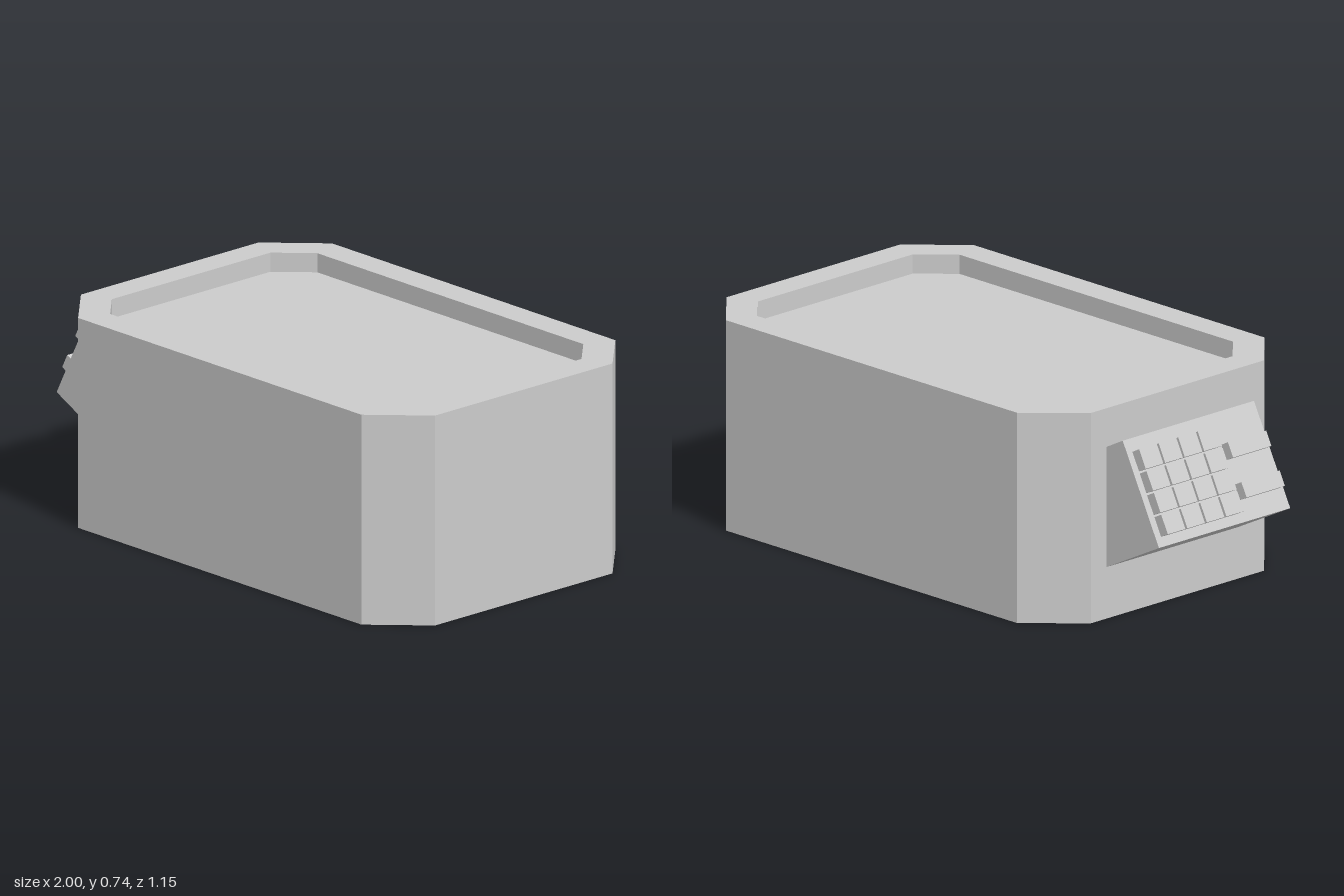
import * as THREE from 'three';

const material = new THREE.MeshStandardMaterial({ color: 0xcccccc, flatShading: true });

// Corners of a rectangle centred on (cx, 0) with cut corners
function cutRectangle(cx, hw, hd, cut) {
  return [
    [hw - cut, -hd], [hw, cut - hd], [hw, hd - cut], [hw - cut, hd],
    [cut - hw, hd], [-hw, hd - cut], [-hw, cut - hd], [cut - hw, -hd],
  ].map(([x, y]) => new THREE.Vector2(cx + x, y));
}

function addMesh(parent, name, geometry) {
  const mesh = new THREE.Mesh(geometry, material);
  mesh.name = name;
  parent.add(mesh);
  return mesh;
}

function extrude(shape, depth) {
  return new THREE.ExtrudeGeometry(shape, { depth, bevelEnabled: false });
}

export function createModel() {
  const model = new THREE.Group();
  model.name = 'keypadTub';
  const height = 0.735, floorY = 0.668;

  // Solid body up to the recessed floor
  const outline = cutRectangle(0.135, 0.865, 0.575, 0.173);
  addMesh(model, 'body', extrude(new THREE.Shape(outline), floorY).rotateX(-Math.PI / 2));

  // Raised rim around the recess
  const rimShape = new THREE.Shape(outline);
  rimShape.holes.push(new THREE.Path(cutRectangle(0.135, 0.76, 0.469, 0.11)));
  addMesh(model, 'rim', extrude(rimShape, height - floorY).rotateX(-Math.PI / 2)).position.y = floorY;

  // Slanted console on the end wall
  const consoleShape = new THREE.Shape([
    [-0.73, 0.18], [-0.73, 0.6], [-0.808, 0.64], [-0.98, 0.305],
  ].map(([x, y]) => new THREE.Vector2(x, y)));
  addMesh(model, 'console', extrude(consoleShape, 0.61)).position.z = -0.33;

  // Frame on the console face: -x points outward, -y runs down the slope
  const panel = new THREE.Group();
  panel.name = 'controlPanel';
  panel.position.set(-0.808, 0.64, 0);
  panel.rotation.z = -Math.atan2(0.172, 0.335);
  model.add(panel);
  const raised = 0.036;

  // Four by four keypad
  const keyGeometry = new THREE.BoxGeometry(raised, 0.069, 0.082);
  for (let row = 0; row < 4; row++) {
    for (let col = 0; col < 4; col++) {
      addMesh(panel, 'key', keyGeometry)
        .position.set(-raised / 2, -0.079 - row * 0.0765, -0.264 + col * 0.0907);
    }
  }

  // Two long function bars beside the keypad
  const barGeometry = new THREE.BoxGeometry(raised, 0.054, 0.178);
  for (const y of [-0.135, -0.275]) {
    addMesh(panel, 'functionBar', barGeometry).position.set(-raised / 2, y, 0.168);
  }

  return model;
}
